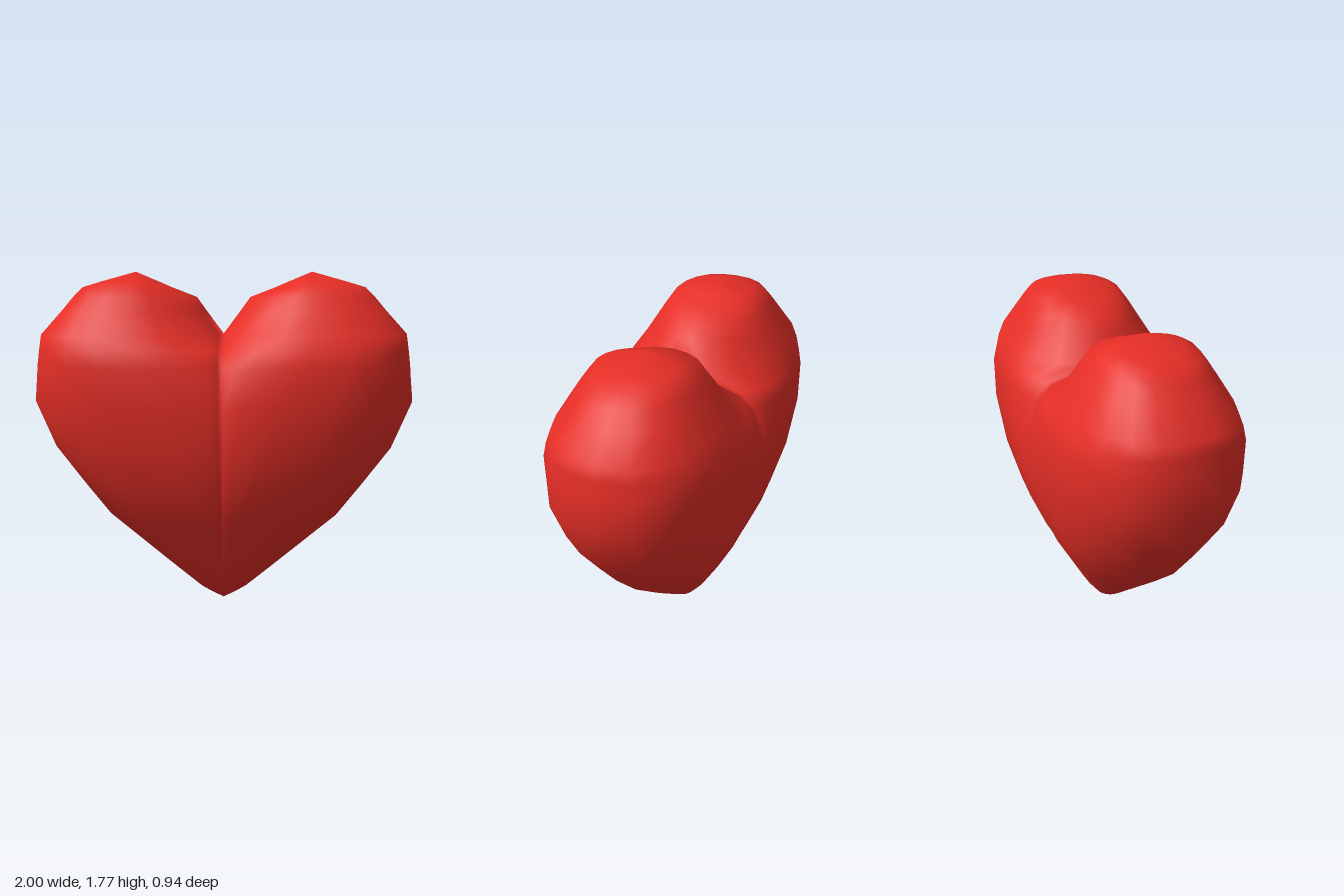
import * as THREE from 'three';
import { mergeVertices } from 'three/addons/utils/BufferGeometryUtils.js';

// Horizontal sections of one lobe, bottom to top:
// height, inner x, outer x, x of the fullest point, half depth there, half depth at the inner edge
const SECTIONS = [
  [0, 0, 0, 0, 0, 0],
  [0.05, 0, 0.08, 0.02, 0.07, 0.07],
  [0.08, 0, 0.13, 0.03, 0.09, 0.09],
  [0.2, 0, 0.27, 0.05, 0.17, 0.165],
  [0.5, 0, 0.62, 0.1, 0.33, 0.32],
  [0.67, 0, 0.75, 0.14, 0.4, 0.385],
  [0.87, 0, 0.9, 0.2, 0.45, 0.425],
  [1.11, 0, 1, 0.3, 0.47, 0.435],
  [1.3, 0, 0.98, 0.4, 0.455, 0.36],
  [1.38, 0, 0.97, 0.42, 0.43, 0.27],
  [1.45, 0, 0.96, 0.45, 0.39, 0],
  [1.57, 0.09, 0.85, 0.46, 0.315, 0],
  [1.64, 0.14, 0.79, 0.46, 0.27, 0],
  [1.69, 0.27, 0.74, 0.46, 0.235, 0],
  [1.72, 0.34, 0.64, 0.46, 0.18, 0],
  [1.77, 0.46, 0.46, 0.46, 0, 0],
];
const STEPS = 5; // segments per quarter of a section
const ROUND = 2 / 2.3; // slightly fuller than an ellipse on the outside

// Half section on the front side, from the inner edge round to the outer edge
function frontCurve([, inner, outer, peak, depth, innerDepth]) {
  const points = [];
  for (let i = 0; i <= STEPS; i++) {
    const a = (i / STEPS) * Math.PI / 2;
    points.push([peak - (peak - inner) * Math.cos(a), innerDepth + (depth - innerDepth) * Math.sin(a)]);
  }
  for (let i = 1; i <= STEPS; i++) {
    const a = (i / STEPS) * Math.PI / 2;
    const c = i === STEPS ? 0 : Math.cos(a);
    points.push([peak + (outer - peak) * Math.sin(a) ** ROUND, depth * c ** ROUND]);
  }
  return points;
}

// Loft one lobe through its sections; side = 1 or -1 mirrors it in x
function addLobe(side, positions, indices) {
  const start = positions.length / 3;
  const columns = 4 * STEPS + 1;
  SECTIONS.forEach((section, row) => {
    const front = frontCurve(section);
    const back = front.slice(0, -1).reverse().map(([x, z]) => [x, -z]);
    for (const [x, z] of [...front, ...back]) positions.push(side * x, section[0], z);
    if (row === 0) return;
    for (let j = 0; j < columns - 1; j++) {
      const a = start + (row - 1) * columns + j;
      const b = a + 1, c = b + columns, d = a + columns;
      if (side > 0) indices.push(a, b, c, a, c, d);
      else indices.push(a, c, b, a, d, c);
    }
  });
}

export function createModel() {
  const group = new THREE.Group();
  group.name = 'heart';

  // Both lobes are welded along the middle so the shading runs across
  const positions = [], indices = [];
  addLobe(1, positions, indices);
  addLobe(-1, positions, indices);
  let geometry = new THREE.BufferGeometry();
  geometry.setAttribute('position', new THREE.Float32BufferAttribute(positions, 3));
  geometry.setIndex(indices);
  geometry = mergeVertices(geometry);
  geometry.computeVertexNormals();

  const body = new THREE.Mesh(geometry, new THREE.MeshStandardMaterial({ color: 0xe52e26 }));
  body.name = 'heartBody';
  group.add(body);
  return group;
}
